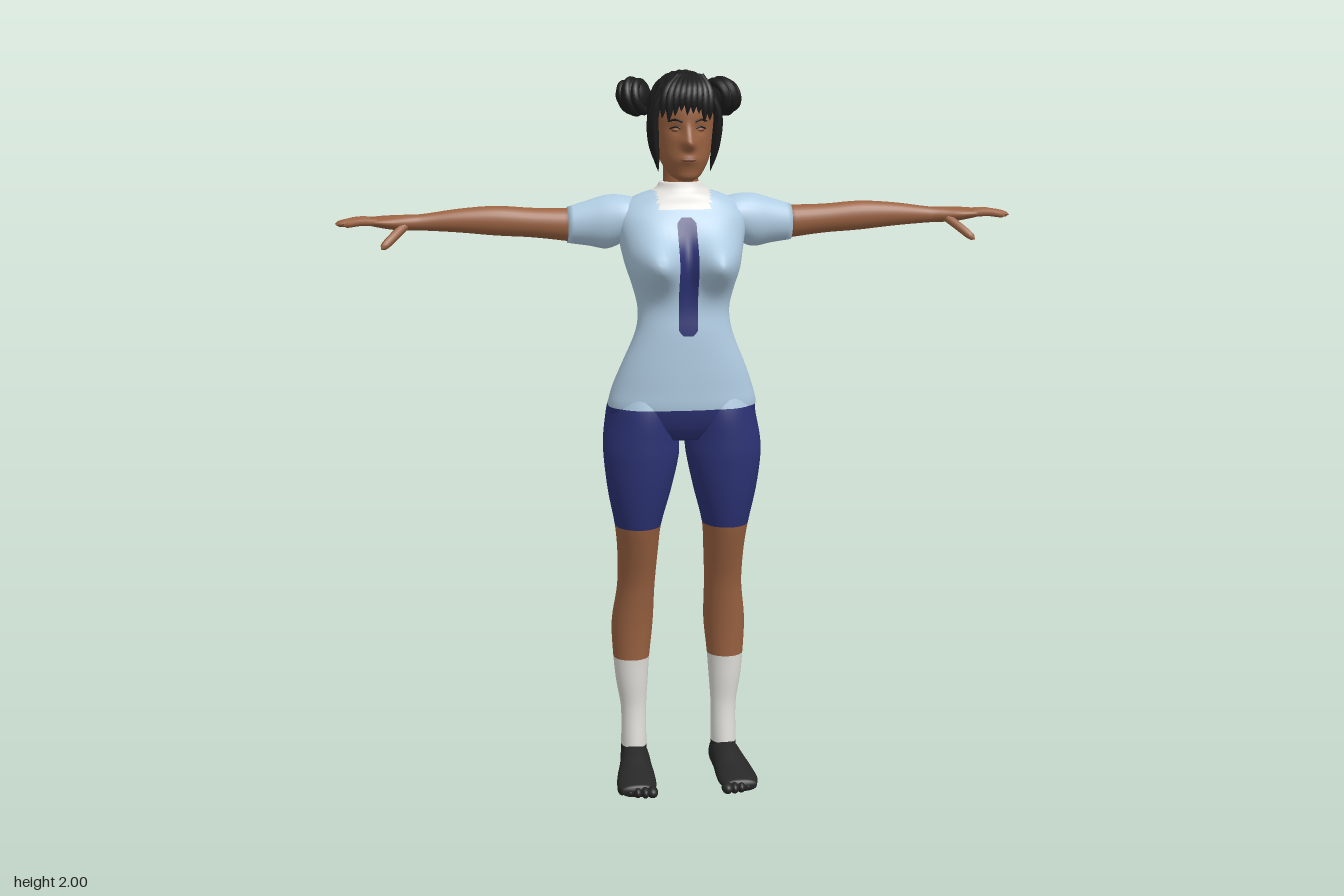
import * as THREE from 'three';

const mat = (name, color) => Object.assign(new THREE.MeshStandardMaterial({ color }), { name });

// Ring values at position t, smoothly interpolated. A ring is [t, c1, c2, r1, r2].
function at(rings, t) {
  let i = 0;
  while (i < rings.length - 2 && t > rings[i + 1][0]) i++;
  const a = rings[i], b = rings[i + 1], h = b[0] - a[0], s = (t - a[0]) / h;
  const slope = (j, k) => {
    const p = rings[Math.max(j - 1, 0)], q = rings[Math.min(j + 1, rings.length - 1)];
    return (q[k] - p[k]) / (q[0] - p[0]);
  };
  const s2 = s * s, s3 = s2 * s;
  return [0, 1, 2, 3, 4].map(k => k === 0 ? t :
    (2 * s3 - 3 * s2 + 1) * a[k] + (s3 - 2 * s2 + s) * h * slope(i, k) +
    (3 * s2 - 2 * s3) * b[k] + (s3 - s2) * h * slope(i + 1, k));
}

const power = (v, p) => Math.sign(v) * Math.abs(v) ** p;

// Closed skin through rings along an axis; paint picks a material index for each face centre.
function loft(rings, axis, { n = 28, sub = 4, p = 1, flip = false, deform = null, paint = () => 0 } = {}) {
  const ts = [];
  for (let i = 0; i < rings.length - 1; i++)
    for (let j = 0; j < sub; j++) ts.push(rings[i][0] + (rings[i + 1][0] - rings[i][0]) * j / sub);
  ts.push(rings[rings.length - 1][0]);
  const pts = [];
  const add = (t, u, v) => {
    const q = axis === 'y' ? new THREE.Vector3(u, t, v) : axis === 'x' ? new THREE.Vector3(t, u, v) : new THREE.Vector3(u, v, t);
    if (deform) deform(q);
    if (flip) q.x *= -1;
    pts.push(q);
  };
  for (const t of ts) {
    const [, c1, c2, r1, r2] = at(rings, t);
    for (let k = 0; k < n; k++) {
      const a = k / n * Math.PI * 2;
      add(t, c1 + r1 * power(Math.cos(a), p), c2 + r2 * power(Math.sin(a), p));
    }
  }
  for (const r of [rings[0], rings[rings.length - 1]]) add(r[0], r[1], r[2]);
  const lists = [];
  const reverse = (axis === 'y') !== flip;
  const tri = (a, b, c, m) => (lists[m] ??= []).push(...(reverse ? [a, c, b] : [a, b, c]));
  for (let i = 0; i < ts.length - 1; i++) for (let k = 0; k < n; k++) {
    const a = i * n + k, b = i * n + (k + 1) % n, c = b + n, d = a + n;
    const m = paint(pts[a].clone().add(pts[c]).multiplyScalar(0.5));
    tri(a, b, c, m); tri(a, c, d, m);
  }
  const last = (ts.length - 1) * n, end = pts.length;
  for (let k = 0; k < n; k++) {
    const k1 = (k + 1) % n;
    tri(end - 2, k1, k, paint(pts[k]));
    tri(end - 1, last + k, last + k1, paint(pts[last + k]));
  }
  const g = new THREE.BufferGeometry().setFromPoints(pts);
  g.setIndex(lists.flat());
  let start = 0;
  lists.forEach((l, m) => { g.addGroup(start, l.length, m); start += l.length; });
  g.computeVertexNormals();
  return g;
}

// Tube along points whose radius follows taper(t)
function strand(points, r, taper, seg = 12) {
  const curve = new THREE.CatmullRomCurve3(points.map(q => new THREE.Vector3(...q)));
  const g = new THREE.TubeGeometry(curve, seg, r, 8), pos = g.attributes.position, v = new THREE.Vector3();
  for (let i = 0; i < pos.count; i++) {
    const t = Math.floor(i / 9) / seg, c = curve.getPointAt(t);
    v.fromBufferAttribute(pos, i).sub(c).multiplyScalar(taper(t)).add(c);
    pos.setXYZ(i, v.x, v.y, v.z);
  }
  g.computeVertexNormals();
  return g;
}
const blunt = t => Math.sqrt(Math.max(0, 1 - t ** 8));
const lock = t => (0.55 + 0.9 * t) * (1 - t ** 3);
const ball = (x, y, z, rx, ry, rz) => new THREE.SphereGeometry(1, 20, 14).scale(rx, ry, rz).translate(x, y, z);
const bump = (x, y, x0, y0, sx, sy) => Math.exp(-(((x - x0) / sx) ** 2 + ((y - y0) / sy) ** 2) / 2);

export function createModel() {
  const model = new THREE.Group();
  const skin = mat('skin', 0x9a6241), shirt = mat('shirt blue', 0xb0cce2), navy = mat('navy', 0x2c3274);
  const white = mat('off white', 0xe0ded9), hair = mat('hair black', 0x1c1c1d), shoe = mat('shoe black', 0x262626);
  const lip = mat('lip brown', 0x83503a);
  navy.side = THREE.DoubleSide;
  const part = (name, geometry, material, parent = model) => {
    const m = new THREE.Mesh(geometry, material);
    m.name = name;
    parent.add(m);
    return m;
  };

  // Torso: hips, shirt and collar
  const torso = [
    [1.0, 0, -0.01, 0.1, 0.07], [1.04, 0, -0.01, 0.185, 0.095], [1.09, 0, -0.01, 0.204, 0.11],
    [1.14, 0, -0.008, 0.194, 0.111], [1.2, 0, 0.007, 0.172, 0.098], [1.3, 0, 0.022, 0.132, 0.083],
    [1.36, 0, 0.015, 0.125, 0.085], [1.42, 0, 0.005, 0.138, 0.093], [1.48, 0, -0.005, 0.157, 0.1],
    [1.54, 0, -0.016, 0.17, 0.104], [1.6, 0, -0.026, 0.178, 0.096], [1.64, 0, -0.035, 0.16, 0.08],
    [1.665, 0, -0.035, 0.115, 0.07], [1.68, 0, -0.036, 0.072, 0.06], [1.7, 0, -0.036, 0.056, 0.053]];
  const chest = (x, y) => 0.09 * bump(Math.abs(x), y, 0.085, 1.487, 0.042, 0.046);
  part('torso', loft(torso, 'y', {
    n: 64, p: 0.88,
    deform: q => { if (q.z > 0) q.z += chest(q.x, q.y) * Math.min(1, q.z / 0.03); },
    paint: q => q.y < 1.09 ? 0 : q.y > 1.678 || (q.y > 1.628 && Math.abs(q.x) < 0.073) ? 2 : 1,
  }), [navy, shirt, white]);

  // Tie: thin plate following the chest
  const tie = new THREE.PlaneGeometry(2, 1, 4, 40), tp = tie.attributes.position;
  for (let i = 0; i < tp.count; i++) {
    const y = 1.453 + tp.getY(i) * 0.315, edge = 0.1575 - Math.abs(y - 1.453);
    const x = tp.getX(i) * Math.min(0.026, 0.013 + edge);
    const [, , cz, rx, rz] = at(torso, y);
    const c = Math.abs(x / rx) ** (1 / 0.88);
    tp.setXYZ(i, x, y, cz + rz * Math.sqrt(1 - c * c) ** 0.88 + chest(x, y) + 0.005);
  }
  tie.computeVertexNormals();
  part('tie', tie, navy);

  // Neck and head
  part('neck', loft([[1.66, 0, -0.035, 0.05, 0.048], [1.72, 0, -0.035, 0.048, 0.047],
    [1.78, 0, -0.03, 0.05, 0.05], [1.83, 0, -0.02, 0.05, 0.05]], 'y'), skin);
  part('head', loft([
    [1.708, 0, 0.062, 0.018, 0.02], [1.717, 0, 0.057, 0.034, 0.04], [1.735, 0, 0.042, 0.05, 0.06],
    [1.765, 0, 0.026, 0.066, 0.084], [1.8, 0, 0.014, 0.075, 0.097], [1.85, 0, 0.008, 0.081, 0.104],
    [1.9, 0, 0.003, 0.083, 0.109], [1.95, 0, 0, 0.07, 0.095], [1.98, 0, 0, 0.04, 0.06]], 'y', {
    n: 64, sub: 6,
    deform: q => {
      if (q.z < 0.03) return;
      const x = Math.abs(q.x);
      q.z += 0.027 * bump(x, q.y, 0, 1.808, 0.011, 0.01) + 0.014 * bump(x, q.y, 0, 1.83, 0.008, 0.016)
        + 0.006 * bump(x, q.y, 0, 1.765, 0.02, 0.008) - 0.007 * bump(x, q.y, 0.032, 1.845, 0.013, 0.009);
    },
  }), skin);
  part('lips', ball(0, 1.767, 0.112, 0.021, 0.006, 0.006), lip);

  // Hair cap with combed ridges, open toward the face
  const cap = new THREE.SphereGeometry(1, 96, 32, 0, Math.PI * 2, 0, Math.PI * 0.56), cp = cap.attributes.position;
  for (let i = 0; i < cp.count; i++) {
    const k = 1 + 0.022 * Math.cos(18 * Math.atan2(cp.getZ(i), cp.getX(i))) * Math.hypot(cp.getX(i), cp.getZ(i));
    cp.setXYZ(i, cp.getX(i) * k, cp.getY(i) * k, cp.getZ(i) * k);
  }
  cap.rotateX(-0.62).scale(0.094, 0.104, 0.119).translate(0, 1.894, -0.003);
  cap.computeVertexNormals();
  const capMat = hair;
  capMat.side = THREE.DoubleSide;
  part('hairCap', cap, capMat);

  // Fringe
  for (let i = 0; i < 9; i++) {
    const x = -0.064 + i * 0.016, drop = [0, 0.016, 0.006][i % 3] + Math.abs(x) * 0.4;
    const zf = 0.122 - 5.5 * x * x;
    part('fringe', strand([[x * 0.5 + 0.01, 1.985, 0.06], [x * 0.9, 1.945, zf - 0.01],
      [x - 0.006, 1.9 - drop, zf]], 0.014, lock), hair);
  }

  for (const s of [1, -1]) {
    const side = new THREE.Group();
    side.name = s > 0 ? 'leftSide' : 'rightSide';
    model.add(side);
    const flip = s < 0;

    // Face details and ear
    part('eye', ball(s * 0.032, 1.845, 0.092, 0.013, 0.006, 0.009), lip, side);
    part('eyelash', strand([[s * 0.018, 1.848, 0.104], [s * 0.032, 1.853, 0.1], [s * 0.048, 1.848, 0.09]], 0.002, () => 1), hair, side);
    part('eyebrow', strand([[s * 0.016, 1.866, 0.111], [s * 0.034, 1.872, 0.103], [s * 0.054, 1.866, 0.086]], 0.003, blunt), hair, side);
    part('ear', ball(s * 0.083, 1.845, -0.012, 0.01, 0.032, 0.018).rotateY(0), skin, side);

    // Side locks
    part('sideLock', strand([[s * 0.06, 1.95, 0.07], [s * 0.084, 1.89, 0.065], [s * 0.083, 1.81, 0.05], [s * 0.07, 1.73, 0.032]], 0.015, lock), hair, side);
    part('sideLock', strand([[s * 0.07, 1.95, 0.05], [s * 0.09, 1.88, 0.045], [s * 0.09, 1.82, 0.035], [s * 0.084, 1.765, 0.028]], 0.013, lock), hair, side);

    // Bun with wound coils
    const bun = new THREE.Group();
    bun.name = 'bun';
    bun.position.set(s * 0.122, 1.925, -0.075);
    bun.rotation.set(0, s * 0.55, 0);
    side.add(bun);
    part('bunCore', ball(0, 0, 0, 0.042, 0.05, 0.05), hair, bun);
    for (const [x, r, t] of [[-0.022, 0.038, 0.013], [0, 0.042, 0.013], [0.022, 0.032, 0.013], [0.036, 0.014, 0.01]])
      part('bunCoil', new THREE.TorusGeometry(r, t, 10, 28).rotateY(Math.PI / 2).rotateZ(0.2).translate(s * x, 0, 0), hair, bun);

    // Sleeve and arm
    part('sleeve', loft([[0.09, 1.6, -0.04, 0.045, 0.05], [0.15, 1.6, -0.045, 0.062, 0.065],
      [0.2, 1.591, -0.05, 0.073, 0.064], [0.25, 1.588, -0.053, 0.062, 0.054], [0.308, 1.583, -0.055, 0.049, 0.042]], 'x', { flip }), shirt, side);
    part('arm', loft([[0.29, 1.583, -0.055, 0.046, 0.04], [0.4, 1.591, -0.051, 0.04, 0.035],
      [0.5, 1.598, -0.048, 0.04, 0.033], [0.6, 1.6, -0.047, 0.032, 0.028], [0.7, 1.597, -0.047, 0.022, 0.022],
      [0.74, 1.597, -0.046, 0.021, 0.028], [0.78, 1.598, -0.046, 0.019, 0.038], [0.82, 1.6, -0.049, 0.014, 0.042],
      [0.842, 1.6, -0.05, 0.009, 0.037]], 'x', { flip }), skin, side);
    for (const [z0, x1, z1] of [[-0.081, 0.912, -0.094], [-0.061, 0.93, -0.069], [-0.04, 0.928, -0.04], [-0.02, 0.908, -0.008]])
      part('finger', strand([[s * 0.81, 1.6, z0], [s * 0.865, 1.602, (z0 + z1) / 2], [s * x1, 1.594, z1]], 0.0095, blunt), skin, side);
    part('thumb', strand([[s * 0.745, 1.59, -0.03], [s * 0.775, 1.565, 0], [s * 0.81, 1.534, 0.03]], 0.0125, blunt), skin, side);

    // Leg: shoe top, sock, skin, shorts and seat under the shirt
    part('leg', loft([
      [0.05, 0.13, -0.075, 0.036, 0.046], [0.09, 0.13, -0.075, 0.036, 0.045], [0.2, 0.13, -0.078, 0.036, 0.038],
      [0.28, 0.134, -0.082, 0.045, 0.048], [0.35, 0.135, -0.085, 0.051, 0.055], [0.45, 0.132, -0.085, 0.058, 0.065],
      [0.55, 0.125, -0.064, 0.053, 0.061], [0.6, 0.123, -0.052, 0.053, 0.062], [0.68, 0.122, -0.034, 0.057, 0.072],
      [0.75, 0.123, -0.02, 0.064, 0.081], [0.85, 0.12, -0.009, 0.087, 0.091], [0.95, 0.115, -0.005, 0.104, 0.099],
      [1.0, 0.113, -0.018, 0.105, 0.114], [1.05, 0.108, -0.034, 0.102, 0.131], [1.09, 0.104, -0.036, 0.099, 0.129],
      [1.15, 0.096, -0.03, 0.086, 0.11], [1.21, 0.08, -0.005, 0.06, 0.07]], 'y', {
      n: 36, flip, paint: q => q.y < 0.09 ? 0 : q.y < 0.35 ? 1 : q.y < 0.75 ? 2 : q.y < 1.09 ? 3 : 4,
    }), [shoe, white, skin, navy, shirt], side);

    // Shoe with toes
    part('shoe', loft([[-0.128, 0.128, 0.04, 0.016, 0.024], [-0.105, 0.128, 0.046, 0.035, 0.044],
      [-0.05, 0.13, 0.05, 0.041, 0.048], [0, 0.135, 0.043, 0.046, 0.041], [0.05, 0.14, 0.034, 0.053, 0.031],
      [0.1, 0.144, 0.026, 0.055, 0.022], [0.135, 0.145, 0.021, 0.045, 0.015]], 'z', { flip, p: 0.9 }), shoe, side);
    for (let i = 0; i < 5; i++)
      part('toe', ball(s * (0.106 + i * 0.02), 0.02 - i * 0.001, 0.138 - i * i * 0.0028, i ? 0.012 : 0.016, 0.016, 0.024), shoe, side);
  }
  return model;
}
